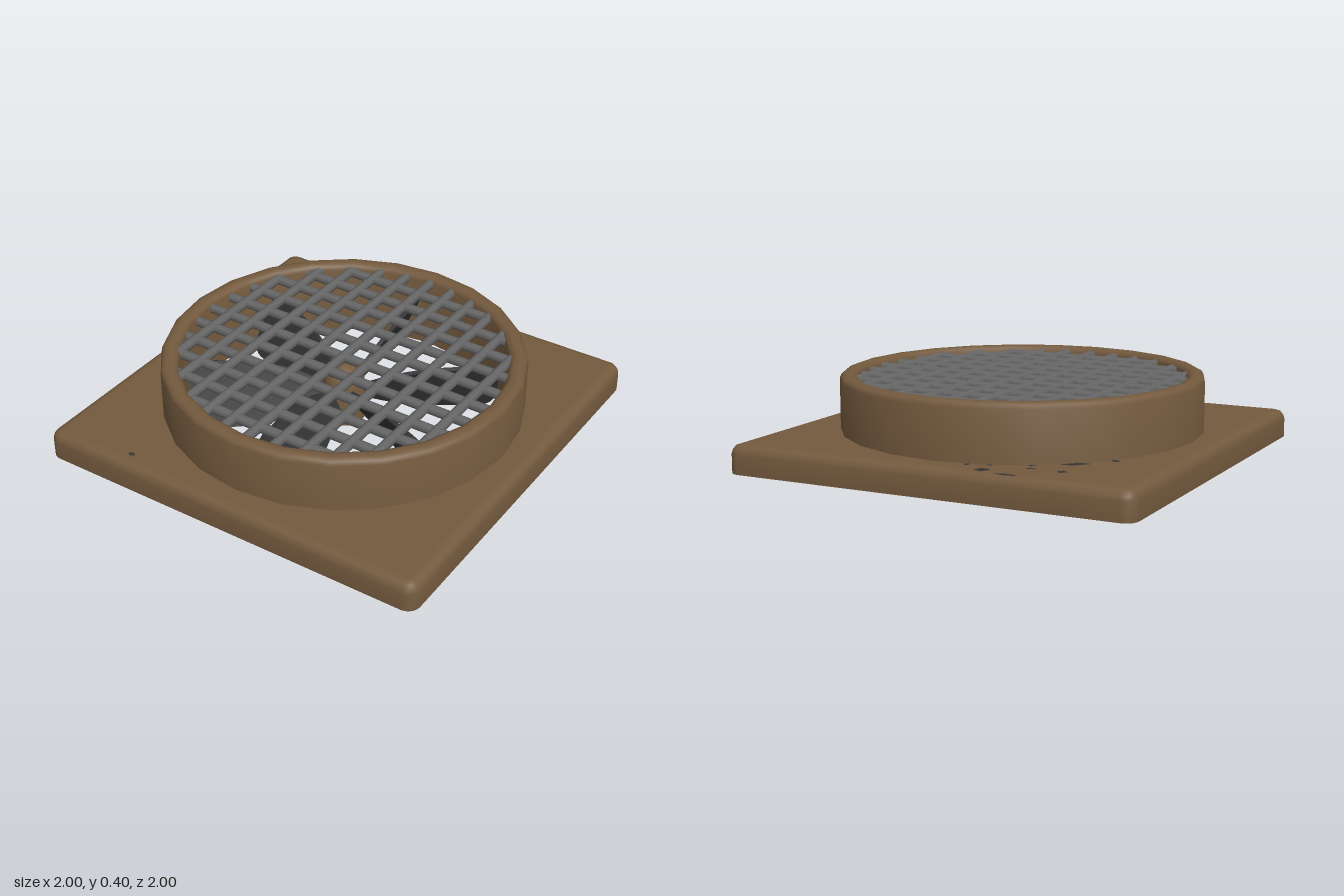
import * as THREE from 'three';
import { toCreasedNormals } from 'three/addons/utils/BufferGeometryUtils.js';

const brown = new THREE.MeshStandardMaterial({ color: 0x745a3e, side: THREE.DoubleSide });
brown.name = 'brown paint';
const grey = new THREE.MeshStandardMaterial({ color: 0x666666 });
grey.name = 'grey steel';
const charcoal = new THREE.MeshStandardMaterial({ color: 0x363636 });
charcoal.name = 'charcoal metal';

function add(parent, geometry, material, name) {
  const mesh = new THREE.Mesh(geometry, material);
  mesh.name = name;
  parent.add(mesh);
  return mesh;
}

// Rounded square outline, inset from the outer edge, with points along each side
function squareOutline(inset, y) {
  const points = [], r = 0.06 - inset, c = 0.936;
  for (let k = 0; k < 4; k++) {
    const turn = k * Math.PI / 2;
    const put = (x, z) => points.push(new THREE.Vector3(
      x * Math.cos(turn) - z * Math.sin(turn), y, x * Math.sin(turn) + z * Math.cos(turn)));
    for (let i = 0; i < 8; i++) put(c + r, -c + 2 * c * i / 8);
    for (let i = 0; i < 5; i++) {
      const a = i / 5 * Math.PI / 2;
      put(c + r * Math.cos(a), c + r * Math.sin(a));
    }
  }
  return points;
}

// Hollow base: skirt, rounded shoulder and a flat top with a round opening
function baseGeometry() {
  const rings = [[0, 0], [0, 0.09], [0.006, 0.11], [0.02, 0.127], [0.045, 0.135], [0.055, 0.135]]
    .map(([inset, y]) => squareOutline(inset, y));
  rings.push(rings[5].map(p => {
    const s = 0.82 / Math.hypot(p.x, p.z);
    return new THREE.Vector3(p.x * s, p.y, p.z * s);
  }));
  const n = rings[0].length, index = [];
  for (let i = 0; i < rings.length - 1; i++) {
    for (let j = 0; j < n; j++) {
      const a = i * n + j, b = i * n + (j + 1) % n;
      index.push(a, a + n, b, b, a + n, b + n);
    }
  }
  const g = new THREE.BufferGeometry().setFromPoints(rings.flat());
  g.setIndex(index);
  return toCreasedNormals(g, 0.7);
}

function lathe(points, segments) {
  const g = new THREE.LatheGeometry(points.map(p => new THREE.Vector2(...p)), segments);
  return toCreasedNormals(g, 0.9);
}

// Paddle blade running along +x, its chord along y
function bladeGeometry() {
  const s = new THREE.Shape();
  s.moveTo(0.06, -0.045);
  s.lineTo(0.13, -0.065);
  s.quadraticCurveTo(0.25, -0.13, 0.42, -0.155);
  s.lineTo(0.66, -0.165);
  s.quadraticCurveTo(0.73, -0.16, 0.735, -0.08);
  s.lineTo(0.735, 0.08);
  s.quadraticCurveTo(0.73, 0.16, 0.66, 0.165);
  s.lineTo(0.42, 0.155);
  s.quadraticCurveTo(0.25, 0.13, 0.13, 0.065);
  s.lineTo(0.06, 0.045);
  const g = new THREE.ExtrudeGeometry(s, { depth: 0.02, bevelEnabled: false, curveSegments: 5 });
  g.translate(0, 0, -0.01);
  return g;
}

export function createModel() {
  const model = new THREE.Group();
  model.name = 'ventilationFan';
  // The plate sits very slightly turned under the duct
  const base = add(model, baseGeometry(), brown, 'basePlate');
  base.rotation.y = 0.005;

  // Double-walled duct, open below, with a softened rim
  add(model, lathe([[0.865, 0], [0.865, 0.375], [0.857, 0.393], [0.838, 0.402],
    [0.807, 0.402], [0.788, 0.393], [0.78, 0.375], [0.78, 0.015]], 24), brown, 'ductRing');

  // Crossed guard bars trimmed to the duct
  const guard = new THREE.Group();
  guard.name = 'guardGrille';
  model.add(guard);
  for (let i = -5; i <= 5; i++) {
    const offset = i * 0.134;
    const length = 2 * Math.sqrt(0.8 * 0.8 - offset * offset);
    const g = new THREE.CylinderGeometry(0.024, 0.024, length, 8);
    const lengthwise = add(guard, g, grey, 'lengthwiseBar');
    lengthwise.rotation.x = Math.PI / 2;
    lengthwise.position.set(offset, 0.366, 0);
    const crosswise = add(guard, g, grey, 'crosswiseBar');
    crosswise.rotation.z = Math.PI / 2;
    crosswise.position.set(0, 0.36, offset);
  }

  // Fan: hollow domed hub on an axle, with six steeply pitched blades
  const fan = new THREE.Group();
  fan.name = 'fan';
  model.add(fan);
  add(fan, lathe([[0.08, 0.03], [0.1, 0.03], [0.1, 0.24], [0.085, 0.285],
    [0.05, 0.315], [0, 0.325]], 16), brown, 'hub');
  const axle = add(fan, new THREE.CylinderGeometry(0.075, 0.075, 0.2, 12), charcoal, 'axle');
  axle.position.y = 0.14;
  const blade = bladeGeometry();
  for (let k = 0; k < 6; k++) {
    const arm = new THREE.Group();
    arm.name = 'bladeArm';
    arm.position.y = 0.17;
    arm.rotation.y = -THREE.MathUtils.degToRad(23 + 60 * k);
    const mesh = add(arm, blade, charcoal, 'blade');
    mesh.rotation.x = THREE.MathUtils.degToRad(-156);
    fan.add(arm);
  }

  // Paint chips on the plate: x, z, half width, half depth, turn
  const chips = [
    [-0.41, -0.962, 0.06, 0.016, 0], [-0.28, -0.925, 0.038, 0.032, 0.5],
    [-0.6, -0.81, 0.024, 0.022, 0], [-0.455, -0.815, 0.028, 0.012, 0],
    [-0.435, -0.765, 0.022, 0.012, 0.4], [-0.585, -0.655, 0.07, 0.025, 0.6],
    [-0.715, -0.52, 0.026, 0.018, -0.5], [-0.175, -0.865, 0.014, 0.02, 0],
    [-0.27, -0.835, 0.012, 0.014, 0], [-0.55, 0.92, 0.02, 0.012, 0],
  ];
  const chipGeometry = new THREE.CircleGeometry(1, 9);
  const p = chipGeometry.attributes.position;
  for (let i = 1; i < p.count - 1; i++) {
    const s = 0.9 + 0.2 * Math.sin(i * 2.6);
    p.setXY(i, p.getX(i) * s, p.getY(i) * s);
  }
  chipGeometry.rotateX(-Math.PI / 2);
  for (const [x, z, w, d, turn] of chips) {
    const chip = add(model, chipGeometry, charcoal, 'paintChip');
    chip.position.set(x, 0.137, z);
    chip.scale.set(w, 1, d);
    chip.rotation.y = turn;
  }
  return model;
}
